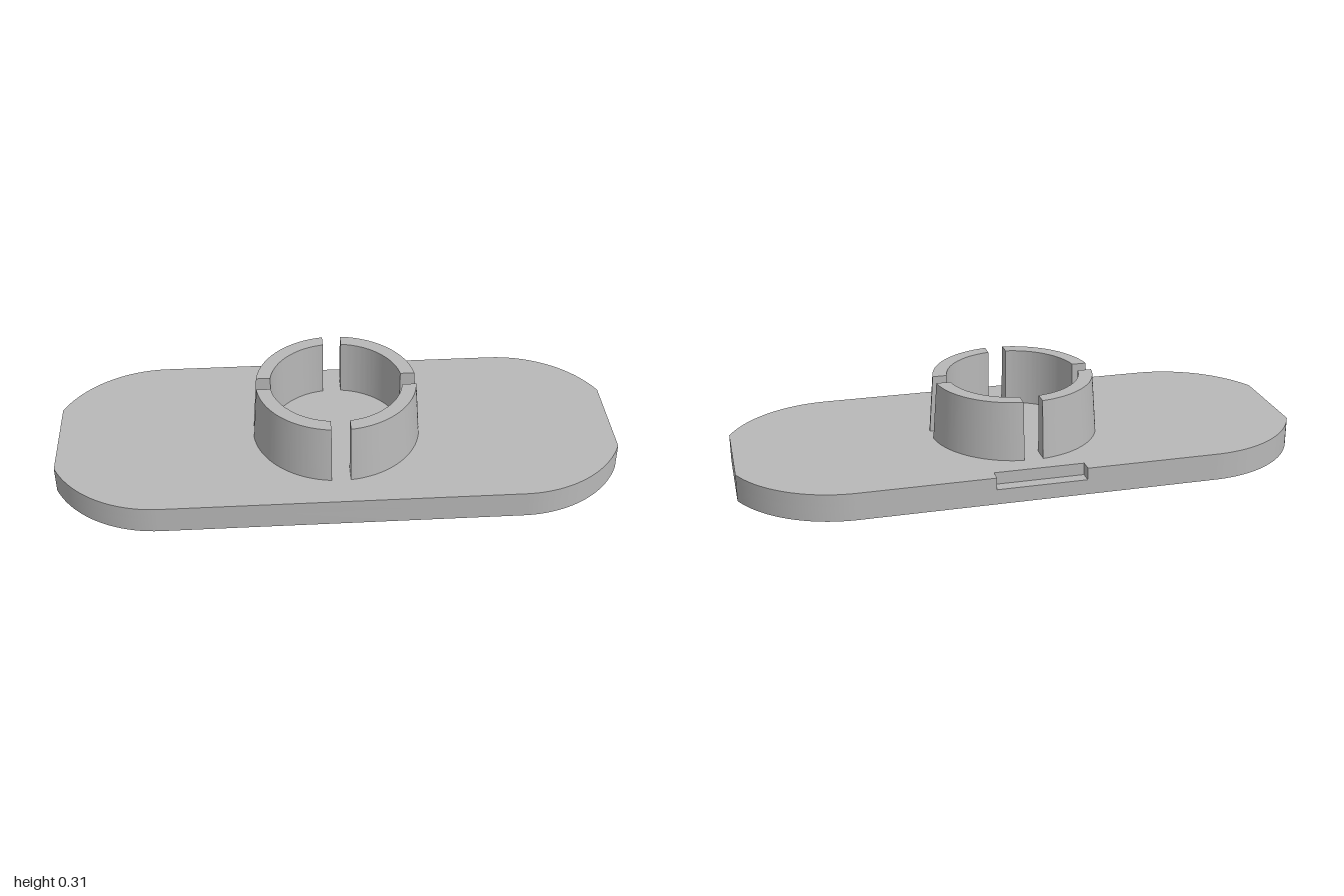
import * as THREE from 'three';
import { toCreasedNormals } from 'three/addons/utils/BufferGeometryUtils.js';

const HALF_DEPTH = 0.413, ARC_X = 0.624;
const PLATE_TOP = 0.097, NOTCH_FLOOR = 0.054, RING_TOP = 0.305;
const INNER = 0.235, OUTER_BASE = 0.3, OUTER_TOP = 0.285, GAP = 0.033;

// Extrudes a plan shape upwards from y0 to y1 (plan y becomes -z)
function slab(shape, y0, y1) {
  const geo = new THREE.ExtrudeGeometry(shape, { depth: y1 - y0, bevelEnabled: false, curveSegments: 20 });
  return geo.rotateX(-Math.PI / 2).translate(0, y0, 0);
}

// Rounded plate outline with cut-off ends and an optional notch in the rear edge
function plateShape(notched) {
  const a = Math.acos((1 - ARC_X) / HALF_DEPTH), q = Math.PI / 2;
  const s = new THREE.Shape();
  s.moveTo(-ARC_X, -HALF_DEPTH);
  s.absarc(ARC_X, -HALF_DEPTH + HALF_DEPTH, HALF_DEPTH, -q, -a, false);
  s.absarc(ARC_X, 0, HALF_DEPTH, a, q, false);
  if (notched) {
    s.lineTo(0.158, HALF_DEPTH);
    s.lineTo(0.158, 0.37);
    s.lineTo(-0.158, 0.37);
    s.lineTo(-0.158, HALF_DEPTH);
  }
  s.absarc(-ARC_X, 0, HALF_DEPTH, q, Math.PI - a, false);
  s.absarc(-ARC_X, 0, HALF_DEPTH, Math.PI + a, Math.PI + q, false);
  return s;
}

// Quarter of the socket wall, tapered outside, with parallel-sided slots
function ringSegment() {
  const ao = Math.asin(GAP / OUTER_BASE), ai = Math.asin(GAP / INNER), q = Math.PI / 2;
  const s = new THREE.Shape();
  s.absarc(0, 0, OUTER_BASE, ao, q - ao, false);
  s.absarc(0, 0, INNER, q - ai, ai, true);
  s.closePath();
  const geo = slab(s, PLATE_TOP, RING_TOP);
  const p = geo.attributes.position;
  // Draw the top outer edge inwards while keeping the slot faces flat
  for (let i = 0; i < p.count; i++) {
    const x = p.getX(i), z = p.getZ(i), r = Math.hypot(x, z);
    if (p.getY(i) < RING_TOP - 0.01 || r < 0.27) continue;
    const start = Math.asin(GAP / OUTER_TOP);
    const t = (Math.atan2(-z, x) - ao) / (q - 2 * ao);
    const angle = start + t * (q - 2 * start);
    p.setX(i, OUTER_TOP * Math.cos(angle));
    p.setZ(i, -OUTER_TOP * Math.sin(angle));
  }
  return toCreasedNormals(geo, 0.3);
}

export function createModel() {
  const model = new THREE.Group();
  model.name = 'mountingPlate';
  const grey = new THREE.MeshStandardMaterial({ color: 0xb8b8b8 });
  grey.name = 'plain grey';

  function add(name, geo, parent = model) {
    const mesh = new THREE.Mesh(geo, grey);
    mesh.name = name;
    parent.add(mesh);
    return mesh;
  }

  // Base plate in two layers, the upper one notched
  add('plateLower', toCreasedNormals(slab(plateShape(false), 0, NOTCH_FLOOR), 0.3));
  add('plateUpper', toCreasedNormals(slab(plateShape(true), NOTCH_FLOOR, PLATE_TOP), 0.3));

  // Socket ring split into four segments
  const socket = new THREE.Group();
  socket.name = 'socketRing';
  model.add(socket);
  const segment = ringSegment();
  for (let i = 0; i < 4; i++) {
    add('socketSegment' + (i + 1), segment, socket).rotation.y = i * Math.PI / 2;
  }
  return model;
}
